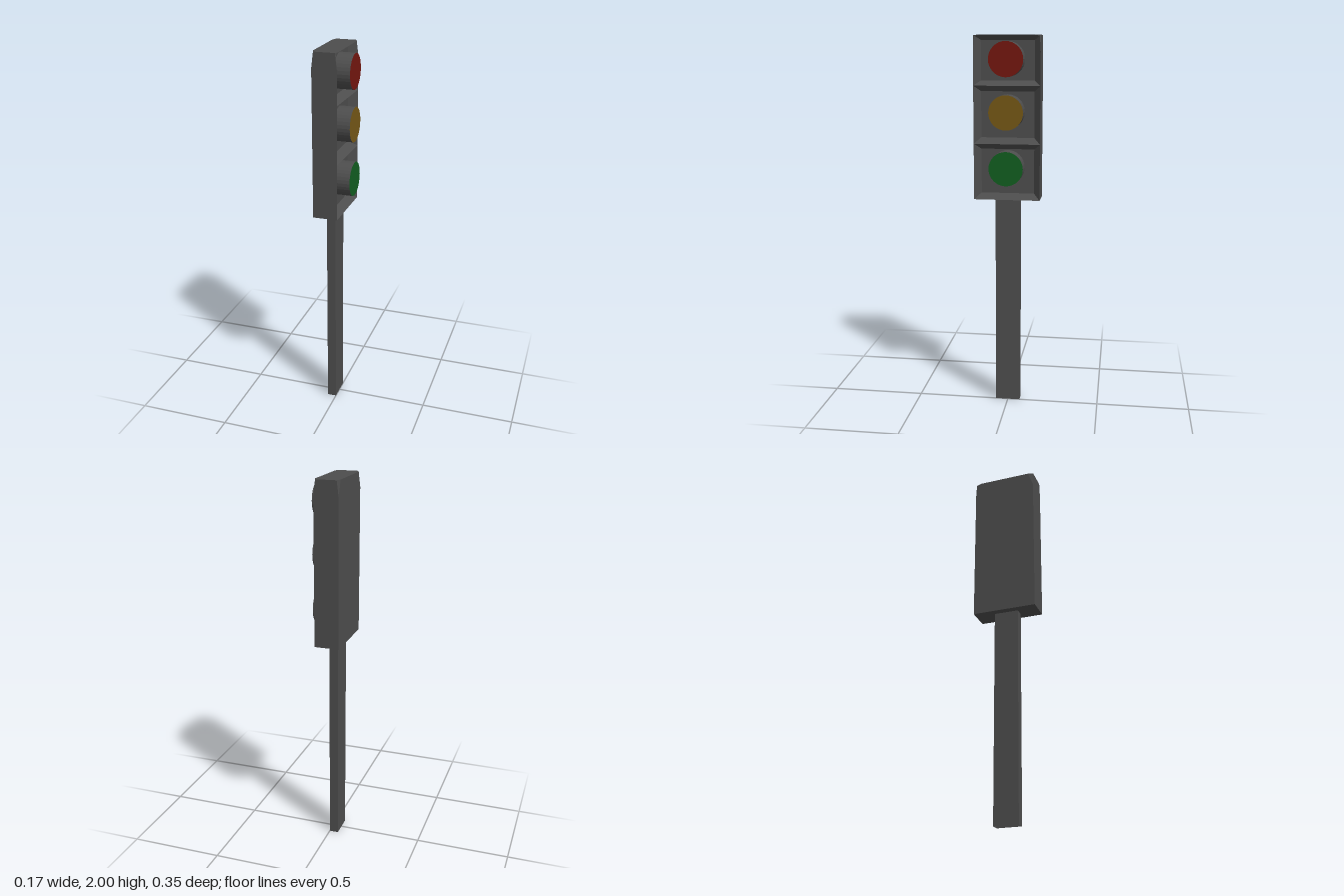
import * as THREE from 'three';

const mat = (color, side = THREE.FrontSide) =>
  new THREE.MeshStandardMaterial({ color, side, flatShading: true });

// Flat polygons, each fanned from its first corner and turned to face its hint direction
function polygonGeometry(faces) {
  const out = [];
  for (const [pts, hint] of faces) {
    const v = pts.map(p => new THREE.Vector3(...p));
    const n = v[1].clone().sub(v[0]).cross(v[2].clone().sub(v[0]));
    if (n.dot(new THREE.Vector3(...hint)) < 0) v.reverse().unshift(v.pop());
    for (let i = 1; i < v.length - 1; i++)
      for (const p of [v[0], v[i], v[i + 1]]) out.push(p.x, p.y, p.z);
  }
  const g = new THREE.BufferGeometry();
  g.setAttribute('position', new THREE.Float32BufferAttribute(out, 3));
  g.computeVertexNormals();
  return g;
}

function housingGeometry() {
  const xb = -0.085, xf = 0.044, xp = 0, y0 = 1.15, y1 = 2, w = 0.174, wi = 0.14;
  const dx = 0.01, dy = 0.08, dz = 0.03; // clipped top corners
  // Each cell: front top edge, panel top, panel bottom, front bottom edge
  const cells = [[2, 1.975, 1.77, 1.745], [1.745, 1.715, 1.475, 1.445], [1.445, 1.415, 1.18, 1.15]];
  const t = 1 / ((xf - xp) / dx + (y1 - cells[0][1]) / dy + (w - wi) / dz);
  // Where the clipped corner meets the mitre of the top cell
  const m = [xf + t * (xp - xf), y1 + t * (cells[0][1] - y1), w + t * (wi - w)];
  const flip = ([x, y, z]) => [x, y, -z];
  const across = half => [...half, ...half.map(flip).reverse()];
  const faces = [];
  const both = (pts, hint) => faces.push([pts, hint], [pts.map(flip), flip(hint)]);

  // Shell: top, bottom, back, sides and clipped corners
  faces.push([across([[xb, y1, w - dz], [xb + dx, y1, w], [xf - dx, y1, w], [xf, y1, w - dz]]), [0, 1, 0]]);
  faces.push([across([[xb, y0, w], [xf, y0, w]]), [0, -1, 0]]);
  faces.push([across([[xb, y0, w], [xb, y1 - dy, w], [xb, y1, w - dz]]), [-1, 0, 0]]);
  both([[xb, y0, w], [xf, y0, w], [xf, y1 - dy, w], [xf - dx, y1, w], [xb + dx, y1, w], [xb, y1 - dy, w]], [0, 0, 1]);
  both([[xb, y1 - dy, w], [xb + dx, y1, w], [xb, y1, w - dz]], [-1, 1, 1]);
  both([m, [xf, y1 - dy, w], [xf - dx, y1, w], [xf, y1, w - dz]], [1, 1, 1]);

  // Recessed cells with sloping walls
  cells.forEach(([a, b, c, d], i) => {
    const corner = i === 0;
    faces.push([across([[xp, c, wi], [xp, b, wi]]), [1, 0, 0]]);
    faces.push([across([[xp, b, wi], ...(corner ? [m, [xf, a, w - dz]] : [[xf, a, w]])]), [0, -1, 0]]);
    faces.push([across([[xp, c, wi], [xf, d, w]]), [0, 1, 0]]);
    both([[xp, c, wi], [xf, d, w], ...(corner ? [[xf, a - dy, w], m] : [[xf, a, w]]), [xp, b, wi]], [0, 0, -1]);
  });
  return polygonGeometry(faces);
}

export function createModel() {
  const model = new THREE.Group();
  model.name = 'trafficLight';
  const add = (parent, name, geometry, material) => {
    const mesh = new THREE.Mesh(geometry, material);
    mesh.name = name;
    parent.add(mesh);
    return mesh;
  };
  const grey = 0x4d4d4d;

  // Hollow rectangular post, open at the foot
  const post = new THREE.CylinderGeometry(Math.SQRT1_2, Math.SQRT1_2, 1.15, 4, 1, true)
    .rotateY(Math.PI / 4).scale(0.048, 1, 0.132).translate(-0.024, 0.575, 0);
  add(model, 'post', post, mat(grey, THREE.DoubleSide));

  add(model, 'housing', housingGeometry(), mat(grey));

  // Three round lamps: a grey barrel with a coloured lens
  const r = 0.09, front = 0.083;
  for (const [name, y, color] of [['red', 1.88, 0x74170f], ['amber', 1.61, 0x755716], ['green', 1.32, 0x125e20]]) {
    const lamp = new THREE.Group();
    lamp.name = name + 'Lamp';
    lamp.position.y = y;
    add(lamp, 'barrel', new THREE.CylinderGeometry(r, r, front, 32, 1, true).rotateZ(-Math.PI / 2), mat(grey))
      .position.x = front / 2;
    add(lamp, 'lens', new THREE.CircleGeometry(r, 32).rotateY(Math.PI / 2), mat(color)).position.x = front;
    model.add(lamp);
  }
  return model;
}
